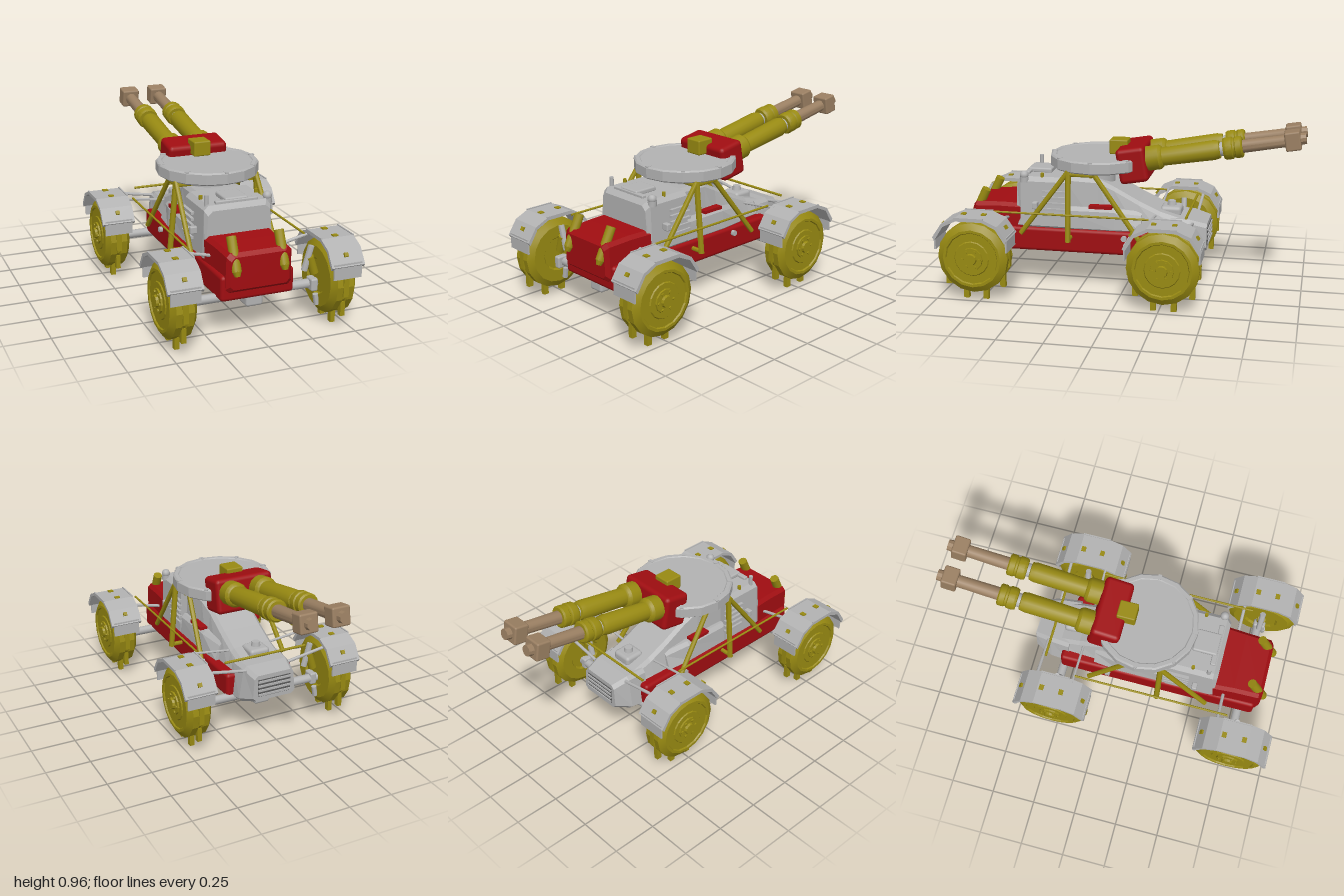
import * as THREE from 'three';
import { RoundedBoxGeometry } from 'three/addons/geometries/RoundedBoxGeometry.js';
import { toCreasedNormals } from 'three/addons/utils/BufferGeometryUtils.js';

const material = (name, color, extra = {}) => {
  const m = new THREE.MeshStandardMaterial({ color, ...extra });
  m.name = name;
  return m;
};

export function createModel() {
  const grey = material('pale grey', 0xb2b2b2);
  const yellow = material('olive yellow', 0x988a12);
  const red = material('deep red', 0xa00d11);
  const tan = material('barrel tan', 0x9a7f62);
  const dark = material('dark grey', 0x5a5a5a);
  const model = new THREE.Group();
  model.name = 'twinGunBuggy';

  const add = (parent, name, geo, mat, x = 0, y = 0, z = 0) => {
    const mesh = new THREE.Mesh(geo, mat);
    mesh.name = name;
    mesh.position.set(x, y, z);
    parent.add(mesh);
    return mesh;
  };
  const box = (parent, name, mat, w, h, d, x, y, z, r = 0) =>
    add(parent, name, r ? new RoundedBoxGeometry(w, h, d, 2, r) : new THREE.BoxGeometry(w, h, d), mat, x, y, z);
  // Rod between two points
  const rod = (parent, name, mat, a, b, r, r2 = r, sides = 12) => {
    const p = new THREE.Vector3(...a), q = new THREE.Vector3(...b);
    const geo = toCreasedNormals(new THREE.CylinderGeometry(r2, r, p.distanceTo(q), sides), 0.6);
    const mesh = add(parent, name, geo, mat);
    mesh.position.copy(p).lerp(q, 0.5);
    mesh.quaternion.setFromUnitVectors(new THREE.Vector3(0, 1, 0), q.sub(p).normalize());
    return mesh;
  };
  const lathe = (pts, sides, crease = 0.3) =>
    toCreasedNormals(new THREE.LatheGeometry(pts.map(p => new THREE.Vector2(...p)), sides), crease);

  // Chamfered hull through sections, front to back: [z, half width below, half width above, bottom, top]
  const loft = (sections, c = 0.02) => {
    const rings = sections.map(([z, b, t, y0, y1]) => [
      [-b + c, y0, z], [b - c, y0, z], [b, y0 + c, z], [t, y1 - c, z],
      [t - c, y1, z], [-t + c, y1, z], [-t, y1 - c, z], [-b, y0 + c, z]]);
    const v = [];
    for (let i = 0; i < rings.length - 1; i++) {
      const F = rings[i], B = rings[i + 1];
      for (let j = 0; j < 8; j++) {
        const k = (j + 1) % 8;
        v.push(...F[j], ...B[j], ...F[k], ...F[k], ...B[j], ...B[k]);
      }
    }
    const first = rings[0], last = rings[rings.length - 1];
    for (let j = 1; j < 7; j++) {
      v.push(...first[0], ...first[j], ...first[j + 1], ...last[0], ...last[j + 1], ...last[j]);
    }
    const geo = new THREE.BufferGeometry();
    geo.setAttribute('position', new THREE.Float32BufferAttribute(v, 3));
    geo.computeVertexNormals();
    return geo;
  };

  // Chassis and nose
  box(model, 'chassis', red, 0.41, 0.14, 1.16, 0, 0.285, 0.28, 0.02);
  add(model, 'nose', loft([[0.885, 0.165, 0.16, 0.285, 0.46], [0.865, 0.185, 0.18, 0.267, 0.48],
    [0.72, 0.19, 0.185, 0.267, 0.487], [0.58, 0.2, 0.195, 0.267, 0.487]]), red);

  // Cab, shoulders and sloping engine cover
  add(model, 'cab', loft([[0.615, 0.195, 0.175, 0.34, 0.62], [0.59, 0.2, 0.19, 0.34, 0.645],
    [0.33, 0.2, 0.19, 0.34, 0.645]], 0.025), grey);
  add(model, 'shoulders', loft([[0.34, 0.195, 0.19, 0.34, 0.48], [0.05, 0.195, 0.185, 0.34, 0.48],
    [-0.1, 0.18, 0.15, 0.34, 0.46]]), grey);
  add(model, 'engineCover', loft([[0.34, 0.16, 0.15, 0.34, 0.645], [0.15, 0.16, 0.14, 0.34, 0.635],
    [0.06, 0.16, 0.13, 0.34, 0.59], [-0.08, 0.16, 0.13, 0.34, 0.515], [-0.2, 0.155, 0.13, 0.34, 0.46],
    [-0.32, 0.15, 0.13, 0.34, 0.425]]), grey);
  add(model, 'rearHousing', loft([[-0.26, 0.17, 0.15, 0.2, 0.43], [-0.37, 0.165, 0.14, 0.215, 0.425],
    [-0.465, 0.13, 0.12, 0.25, 0.4]]), grey);
  box(model, 'rearGrille', dark, 0.2, 0.1, 0.008, 0, 0.325, -0.465);
  for (let i = 0; i < 4; i++) box(model, 'grilleSlat', grey, 0.2, 0.012, 0.012, 0, 0.286 + i * 0.026, -0.469);

  // Roof and deck fittings
  box(model, 'roofHatch', grey, 0.13, 0.03, 0.14, 0, 0.655, 0.51, 0.01);
  box(model, 'roofSill', grey, 0.24, 0.02, 0.03, 0, 0.65, 0.57, 0.006);
  box(model, 'rearDeckBox', grey, 0.12, 0.06, 0.12, 0, 0.445, -0.25, 0.02);
  rod(model, 'deckKnob', grey, [0, 0.46, -0.25], [0, 0.5, -0.25], 0.03, 0.022);
  rod(model, 'roofPost', grey, [-0.165, 0.63, 0.56], [-0.165, 0.695, 0.56], 0.012);
  add(model, 'roofLamp', new THREE.SphereGeometry(0.025, 12, 8), grey, 0.18, 0.655, 0.57);
  rod(model, 'lampBase', grey, [0.18, 0.615, 0.57], [0.18, 0.645, 0.57], 0.025);
  rod(model, 'turretPedestal', grey, [0, 0.6, 0.19], [0, 0.71, 0.19], 0.11, 0.11, 20);
  rod(model, 'rearRail', yellow, [-0.25, 0.47, -0.365], [0.25, 0.47, -0.365], 0.007);

  for (const s of [-1, 1]) {
    // Nose lamps, side louvres and shoulder plates
    rod(model, 'noseLamp', yellow, [s * 0.133, 0.55, 0.81], [s * 0.133, 0.385, 0.89], 0.026);
    rod(model, 'noseLampTip', yellow, [s * 0.133, 0.39, 0.888], [s * 0.133, 0.362, 0.9], 0.026, 0.014);
    for (let i = 0; i < 5; i++) box(model, 'sideLouvre', grey, 0.02, 0.014, 0.14, s * 0.2, 0.43 + i * 0.034, 0.39);
    box(model, 'sideStep', grey, 0.04, 0.04, 0.03, s * 0.215, 0.49, 0.5, 0.006);
    box(model, 'shoulderPlate', red, 0.045, 0.018, 0.13, s * 0.17, 0.487, 0.13);
    rod(model, 'roofPin', yellow, [s * 0.16, 0.64, 0.47], [s * 0.16, 0.665, 0.47], 0.01);
    rod(model, 'fuelCap', grey, [s * 0.2, 0.32, -0.01], [s * 0.225, 0.32, -0.01], 0.016);

    // Turret frame
    const top = s * 0.235;
    rod(model, 'frameStrut', yellow, [top, 0.7, 0.3], [s * 0.272, 0.3, 0.3], 0.016);
    rod(model, 'frameStrut', yellow, [top, 0.7, 0.3], [s * 0.245, 0.33, 0.58], 0.014);
    rod(model, 'frameStrut', yellow, [top - s * 0.02, 0.7, 0.17], [s * 0.258, 0.32, -0.11], 0.014);
    rod(model, 'frameFoot', yellow, [s * 0.19, 0.31, 0.3], [s * 0.28, 0.31, 0.3], 0.012);
    rod(model, 'frameRail', yellow, [top, 0.685, 0.31], [top, 0.685, 0.16], 0.014);

    // Side rods and suspension arms
    rod(model, 'sideRod', yellow, [s * 0.326, 0.473, 0.72], [s * 0.326, 0.473, -0.17], 0.006);
    rod(model, 'frontArm', grey, [s * 0.17, 0.4, 0.67], [s * 0.37, 0.445, 0.67], 0.009);
    rod(model, 'rearArm', grey, [s * 0.13, 0.405, -0.386], [s * 0.37, 0.445, -0.386], 0.009);
    rod(model, 'rearLink', grey, [s * 0.13, 0.44, -0.175], [s * 0.37, 0.47, -0.175], 0.007);
  }
  for (const z of [0.3, 0.17]) rod(model, 'frameCrossbar', yellow, [-0.24, 0.68, z], [0.24, 0.68, z], 0.013);

  // Wheel, fender and shock absorber, built on the left and turned for the right
  const wheelGeo = lathe([[0, -0.06], [0.09, -0.06], [0.1, -0.072], [0.165, -0.072], [0.2, -0.048], [0.2, -0.012],
    [0.192, -0.008], [0.192, 0.008], [0.2, 0.012], [0.2, 0.048], [0.165, 0.072], [0.15, 0.072], [0.145, 0.064],
    [0.1, 0.064], [0.095, 0.07], [0, 0.07]], 16).rotateZ(-Math.PI / 2);
  const hubGeo = lathe([[0.066, 0], [0.064, 0.012], [0.034, 0.012], [0.03, 0.026], [0, 0.026]], 12)
    .rotateZ(-Math.PI / 2);
  const arc = [[-0.212, 0.37], [-0.158, 0.45], [-0.08, 0.485], [0.08, 0.485], [0.158, 0.45], [0.212, 0.37]];
  const inner = arc.map(([z, y]) => [z * 0.94, y - 0.016]).reverse();
  const fenderGeo = new THREE.ExtrudeGeometry(
    new THREE.Shape([...arc, ...inner].reverse().map(p => new THREE.Vector2(...p))),
    { depth: 0.19, bevelEnabled: false }).rotateY(Math.PI / 2);

  for (const [end, z] of [['front', 0.785], ['rear', -0.275]]) {
    for (const side of [1, -1]) {
      const corner = new THREE.Group();
      corner.name = end + (side > 0 ? 'Left' : 'Right') + 'Corner';
      corner.position.z = z;
      if (side < 0) corner.rotation.y = Math.PI;
      model.add(corner);
      add(corner, 'wheel', wheelGeo, yellow, 0.443, 0.25, 0);
      add(corner, 'hub', hubGeo, yellow, 0.51, 0.25, 0);
      for (let i = 0; i < 6; i++) {
        const a = i * Math.PI / 3;
        const y = 0.25 + 0.049 * Math.sin(a), w = 0.049 * Math.cos(a);
        rod(corner, 'wheelBolt', yellow, [0.515, y, w], [0.53, y, w], 0.008, 0.008, 6);
      }
      add(corner, 'fender', fenderGeo, grey, 0.35, 0, 0);
      for (const d of [-1, 1]) {
        box(corner, 'fenderFlap', grey, 0.16, 0.085, 0.01, 0.445, 0.342, d * 0.203);
        box(corner, 'tyreLug', yellow, 0.026, 0.08, 0.03, 0.443, 0.04, d * 0.057);
        box(corner, 'tyreLug', yellow, 0.026, 0.08, 0.03, 0.443, 0.118, d * 0.157);
        box(corner, 'tyreRib', yellow, 0.03, 0.11, 0.016, 0.443, 0.25, d * 0.194);
        box(corner, 'fenderBolt', yellow, 0.03, 0.018, 0.026, 0.443, 0.482, d * 0.057);
        box(corner, 'fenderBolt', yellow, 0.022, 0.018, 0.022, 0.443, 0.422, d * 0.18).rotation.x = d * 0.95;
      }
      for (const x of [0.352, 0.538]) box(corner, 'fenderRim', grey, 0.008, 0.012, 0.165, x, 0.484, 0);
      rod(corner, 'shockAbsorber', grey, [0.3, 0.29, 0], [0.338, 0.425, 0], 0.017);
      rod(corner, 'shockSleeve', yellow, [0.36, 0.27, 0], [0.328, 0.365, 0], 0.024);
      box(corner, 'axleBlock', grey, 0.04, 0.07, 0.07, 0.35, 0.21, 0, 0.01);
      rod(corner, 'steeringKnuckle', grey, [0.365, 0.1, 0.03], [0.355, 0.16, 0.03], 0.015);
    }
    // Axle and differential
    rod(model, end + 'Axle', grey, [-0.38, 0.21, z - 0.01], [0.38, 0.21, z - 0.01], 0.025);
    box(model, end + 'Differential', grey, 0.096, 0.08, 0.1, 0, 0.19, z - 0.01, 0.015);
  }

  // Turntable
  add(model, 'turntable', lathe([[0, 0.695], [0.275, 0.695], [0.285, 0.703], [0.285, 0.757], [0.276, 0.765],
    [0.255, 0.765], [0.25, 0.76], [0, 0.76]], 16), grey, 0, 0, 0.167);
  for (let i = 0; i < 8; i++) {
    const a = i * Math.PI / 4;
    const tab = box(model, 'turntableTab', grey, 0.02, 0.008, 0.03, 0.268 * Math.sin(a), 0.763, 0.167 + 0.268 * Math.cos(a));
    tab.rotation.y = a;
  }

  // Gun mount and twin guns, pitched upward; barrels run along local -z
  const guns = new THREE.Group();
  guns.name = 'gunMount';
  guns.position.set(0, 0.735, -0.045);
  guns.rotation.x = 0.171;
  model.add(guns);
  box(guns, 'gunHousing', red, 0.35, 0.2, 0.165, 0, -0.005, 0, 0.025);
  box(model, 'sightBox', yellow, 0.1, 0.085, 0.105, 0, 0.807, 0.052, 0.008);
  const sleeve = [[0, 0.05], [0.066, 0.05], [0.07, 0.08], [0.07, 0.15], [0.06, 0.165], [0.052, 0.17],
    [0.056, 0.46], [0.05, 0.49], [0.036, 0.494], [0.036, 0.51], [0.056, 0.512], [0.063, 0.525], [0.063, 0.56],
    [0.056, 0.565], [0.056, 0.575], [0.061, 0.58], [0.061, 0.61], [0.052, 0.618], [0, 0.618]];
  const sleeveGeo = lathe(sleeve, 16, 0.5).rotateX(-Math.PI / 2);
  for (const s of [-1, 1]) {
    const gun = new THREE.Group();
    gun.name = s > 0 ? 'leftGun' : 'rightGun';
    gun.position.set(s * 0.092, 0.012, 0);
    guns.add(gun);
    add(gun, 'barrelSleeve', sleeveGeo, yellow);
    rod(gun, 'sleeveGap', grey, [0, 0, -0.485], [0, 0, -0.515], 0.039);
    rod(gun, 'barrel', tan, [0, 0, -0.6], [0, 0, -0.87], 0.037, 0.034, 14);
    box(gun, 'muzzleBlock', tan, 0.104, 0.104, 0.085, 0, 0, -0.892, 0.01);
    rod(gun, 'muzzleTip', tan, [0, 0, -0.92], [0, 0, -0.964], 0.034, 0.03, 10);
  }
  return model;
}
